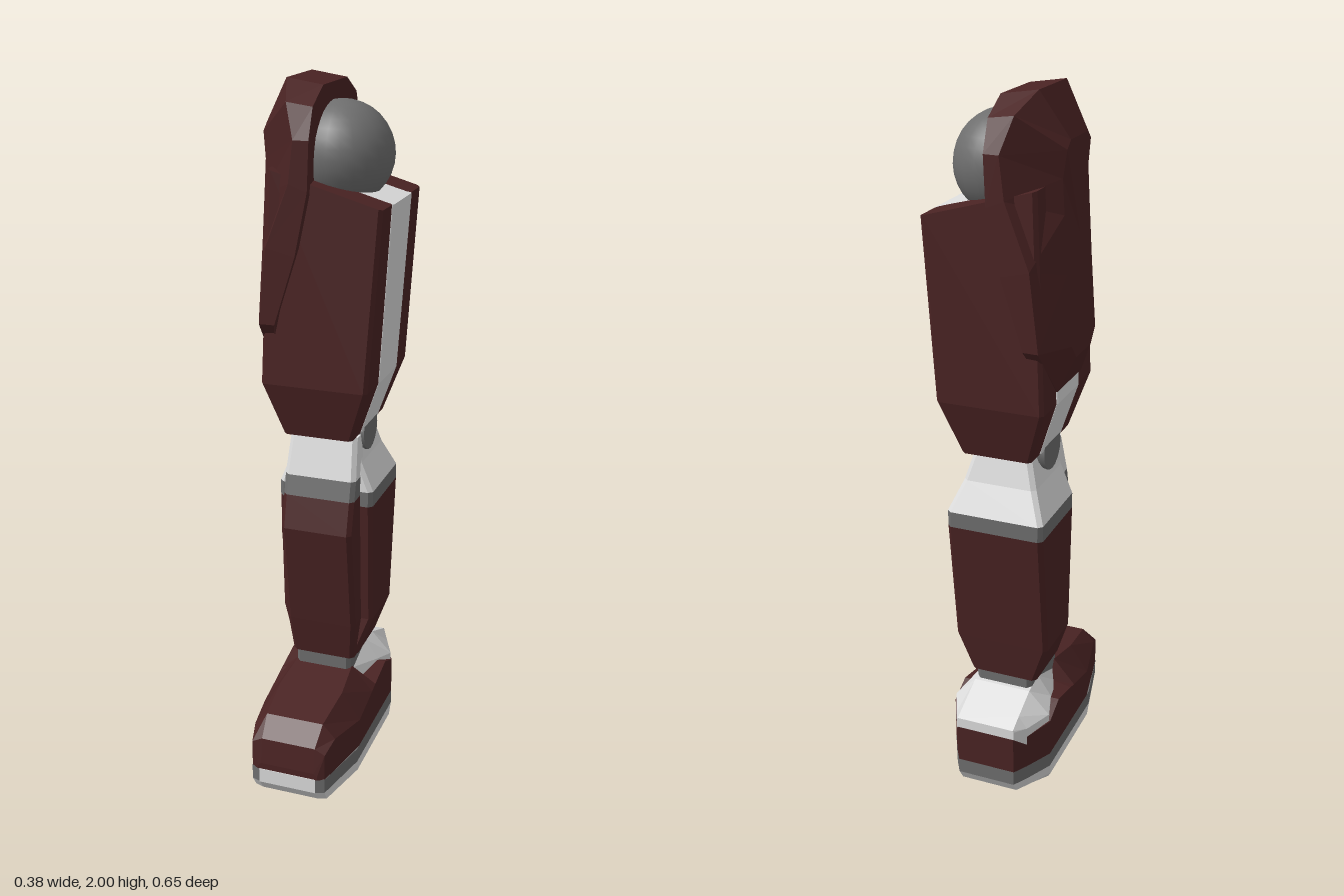
import * as THREE from 'three';

const mat = (name, color) => Object.assign(new THREE.MeshStandardMaterial({ color }), { name });

// Faceted solid through rings of equal point count, capped at both ends
function loft(rings) {
  const n = rings[0].length, p = [];
  const tri = (a, b, c) => p.push(...a, ...b, ...c);
  for (let r = 0; r < rings.length - 1; r++) {
    for (let i = 0; i < n; i++) {
      const j = (i + 1) % n, A = rings[r], B = rings[r + 1];
      tri(A[i], A[j], B[j]);
      tri(A[i], B[j], B[i]);
    }
  }
  const mid = (ring) => [0, 1, 2].map((k) => ring.reduce((s, q) => s + q[k], 0) / n);
  const first = rings[0], last = rings[rings.length - 1], mf = mid(first), ml = mid(last);
  for (let i = 0; i < n; i++) {
    const j = (i + 1) % n;
    tri(mf, first[j], first[i]);
    tri(ml, last[i], last[j]);
  }
  // Turn the faces outward if the rings ran the other way
  let vol = 0;
  for (let i = 0; i < p.length; i += 9) {
    const [a, b, c, d, e, f, g, h, k] = p.slice(i, i + 9);
    vol += a * (e * k - f * h) - b * (d * k - f * g) + c * (d * h - e * g);
  }
  if (vol < 0) {
    for (let i = 0; i < p.length; i += 9) {
      for (let k = 0; k < 3; k++) [p[i + 3 + k], p[i + 6 + k]] = [p[i + 6 + k], p[i + 3 + k]];
    }
  }
  const geo = new THREE.BufferGeometry();
  geo.setAttribute('position', new THREE.Float32BufferAttribute(p, 3));
  geo.computeVertexNormals();
  return geo;
}

// Horizontal chamfered rectangle; y may be a function of x
function level(y, x0, x1, z0, z1, c = 0.012) {
  const Y = typeof y === 'function' ? y : () => y;
  return [[x0 + c, z0], [x1 - c, z0], [x1, z0 + c], [x1, z1 - c], [x1 - c, z1], [x0 + c, z1], [x0, z1 - c], [x0, z0 + c]]
    .map(([x, z]) => [x, Y(x), z]);
}

// Upright cross-section at z: flat top, sloped shoulder, straight side
const arch = ([z, topX, topY, sideX, sideY, bottom]) => [
  [topX, topY, z], [sideX, sideY, z], [sideX, bottom, z],
  [-sideX, bottom, z], [-sideX, sideY, z], [-topX, topY, z]];

// Closed outline from its +x half
const plan = (half, y) => [
  ...half.map(([x, z]) => [x, y, z]),
  ...half.slice().reverse().map(([x, z]) => [-x, y, z])];

export function createModel() {
  const group = new THREE.Group();
  const red = mat('dark red', 0x4a2323);
  const white = mat('off white', 0xdcdcdc);
  const grey = mat('joint grey', 0x6e6e6e);
  const add = (name, geo, material) => {
    const mesh = new THREE.Mesh(geo, material);
    mesh.name = name;
    group.add(mesh);
    return mesh;
  };

  // Hip ball
  add('hipBall', new THREE.SphereGeometry(0.14, 24, 16), grey).position.set(0.02, 1.8, -0.085);

  // Thigh: front and back shells around a pale side strip
  const slope = (x) => 1.74 - 0.28 * x;
  const thigh = (zs, out, c) => loft([
    level(1.04, -0.1 - out, 0.1 + out, ...zs[0], c),
    level(1.195, -0.15 - out, 0.153 + out, ...zs[1], c),
    level(slope, -0.13 - out, 0.184 + out, ...zs[2], c)]);
  add('thighFront', thigh([[-0.02, 0.065], [-0.012, 0.105], [-0.008, 0.088]], 0, 0.01), red);
  add('thighBack', thigh([[-0.23, -0.155], [-0.27, -0.162], [-0.27, -0.168]], 0, 0.01), red);
  add('thighStrip', thigh([[-0.16, -0.015], [-0.168, -0.006], [-0.174, -0.002]], 0.003, 0.003), white);

  // Hip plate: rim, shoulder and raised outer panel as [half depth, y, x]
  const plateRing = (half) => [
    ...half.map(([d, y, x]) => [x, y, -0.08 + d]),
    ...half.slice().reverse().map(([d, y, x]) => [x, y, -0.08 - d])];
  add('hipPlate', loft([
    [[0.095, 1.985, 0], [0.175, 1.94, 0], [0.207, 1.86, 0], [0.207, 1.73, -0.005], [0.207, 1.56, -0.04], [0.205, 1.37, -0.1], [0.1, 1.23, -0.13]],
    [[0.095, 2.0, -0.1], [0.18, 1.95, -0.07], [0.21, 1.86, -0.042], [0.21, 1.75, -0.055], [0.21, 1.58, -0.12], [0.207, 1.37, -0.143], [0.09, 1.23, -0.152]],
    [[0.06, 1.88, -0.17], [0.085, 1.86, -0.17], [0.092, 1.79, -0.162], [0.092, 1.7, -0.167], [0.092, 1.55, -0.176], [0.09, 1.36, -0.19], [0.055, 1.32, -0.19]],
  ].map(plateRing)), red);

  // Knee pivots
  for (const s of [-1, 1]) {
    const pivot = add('kneePivot', new THREE.CylinderGeometry(0.062, 0.062, 0.05, 16), grey);
    pivot.rotation.z = Math.PI / 2;
    pivot.position.set(s * 0.082, 1.03, -0.085);
  }

  // Calf block, from the bottom up
  const block = (rows) => loft(rows.map(([y, hx, z0, z1]) => level(y, -hx, hx, z0, z1)));
  add('calf', block([[0.335, 0.1, -0.19, 0.0], [0.45, 0.14, -0.205, -0.02], [0.82, 0.14, -0.25, 0.0]]), red);
  add('calfBand', block([[0.82, 0.14, -0.25, 0.0], [0.865, 0.14, -0.25, 0.0]]), grey);
  add('kneeBack', block([[0.865, 0.14, -0.25, 0.0], [0.95, 0.105, -0.21, 0.0], [1.04, 0.08, -0.185, 0.0]]), white);

  // Shin guard on the front
  add('shinGuard', block([[0.33, 0.095, -0.05, 0.02], [0.45, 0.105, -0.05, 0.042], [0.76, 0.105, -0.05, 0.088], [0.855, 0.105, -0.05, 0.064]]), red);
  add('shinBand', block([[0.855, 0.105, -0.05, 0.064], [0.912, 0.105, -0.05, 0.05]]), grey);
  add('kneeFront', block([[0.912, 0.105, -0.05, 0.05], [1.03, 0.098, -0.04, 0.016]]), white);

  // Ankle
  add('ankle', block([[0.2, 0.085, -0.19, 0.02], [0.35, 0.085, -0.19, 0.02]]), grey);

  // Foot shell, toe to heel
  add('footShell', loft([
    [0.325, 0.08, 0.125, 0.09, 0.115, 0.105],
    [0.314, 0.08, 0.2, 0.11, 0.185, 0.105],
    [0.26, 0.085, 0.25, 0.122, 0.21, 0.105],
    [0.12, 0.095, 0.274, 0.15, 0.193, 0.105],
    [0.0, 0.085, 0.295, 0.15, 0.22, 0.105],
    [-0.03, 0.085, 0.24, 0.15, 0.228, 0.105],
    [-0.13, 0.09, 0.25, 0.15, 0.25, 0.105],
    [-0.2, 0.09, 0.22, 0.15, 0.218, 0.105],
    [-0.28, 0.085, 0.21, 0.11, 0.207, 0.105],
    [-0.322, 0.08, 0.24, 0.085, 0.24, 0.105],
  ].map(arch)), red);

  // Heel cover sloping down behind the ankle
  add('heelCover', loft([
    [0.0, 0.08, 0.285, 0.095, 0.22, 0.18],
    [-0.13, 0.085, 0.315, 0.125, 0.255, 0.18],
    [-0.2, 0.085, 0.305, 0.146, 0.24, 0.18],
    [-0.28, 0.085, 0.27, 0.11, 0.235, 0.18],
    [-0.325, 0.085, 0.25, 0.087, 0.245, 0.22],
  ].map(arch)), white);

  // Sole band, toe plate and tapered sole
  const outline = [[0.085, 0.325], [0.11, 0.316], [0.15, 0.14], [0.15, -0.2], [0.11, -0.28], [0.085, -0.322]];
  const tread = [[0.065, 0.2], [0.085, 0.19], [0.135, 0.1], [0.135, -0.17], [0.09, -0.235], [0.07, -0.245]];
  add('soleBand', loft([plan(outline, 0.062), plan(outline, 0.106)]), grey);
  add('toePlate', new THREE.BoxGeometry(0.17, 0.044, 0.006), white).position.set(0, 0.084, 0.324);
  add('sole', loft([
    plan(tread, 0),
    plan(outline.map(([x, z]) => [x * 0.99, z * 0.93]), 0.027),
    plan(outline, 0.062)]), white);

  return group;
}
